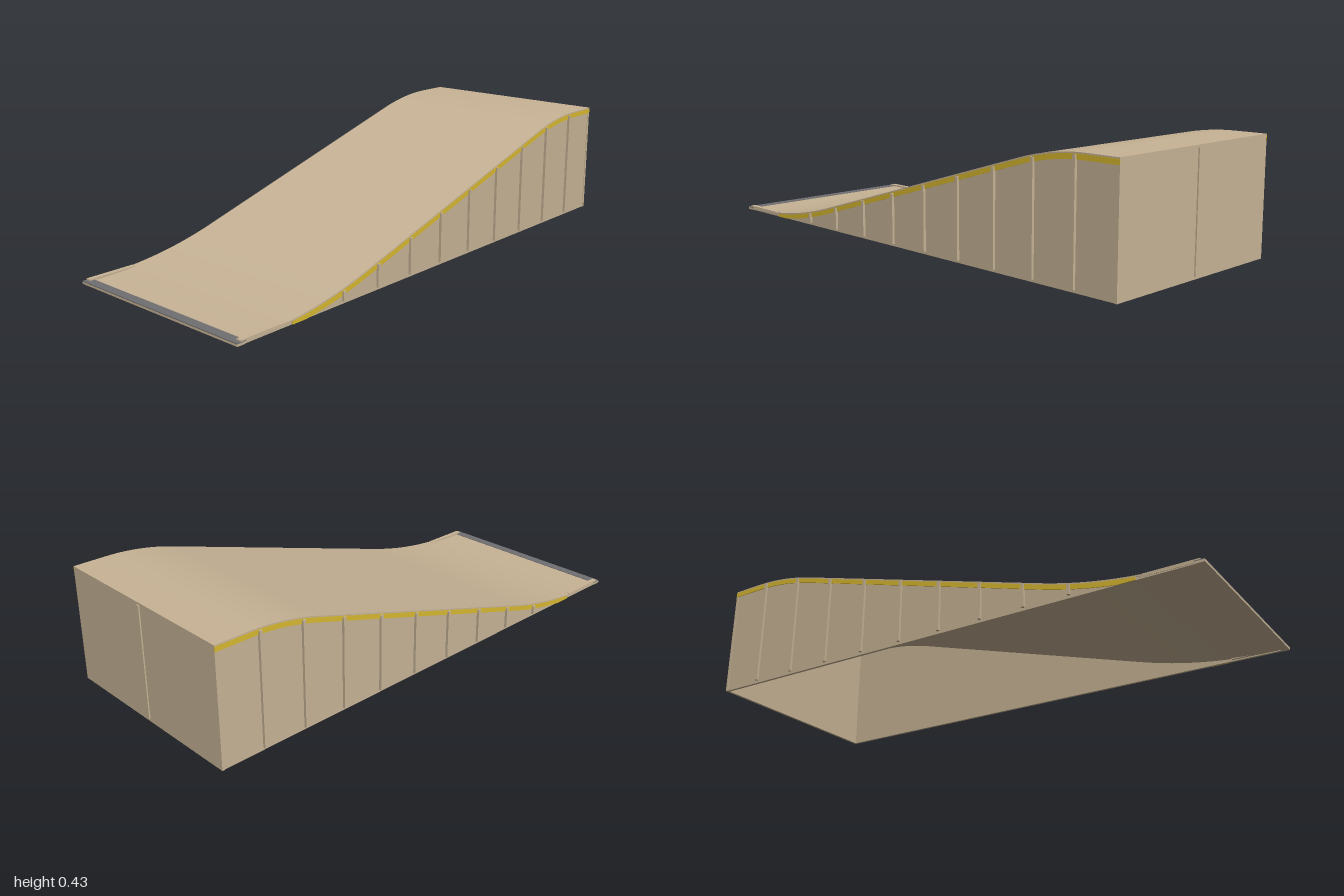
import * as THREE from 'three';
import { toCreasedNormals } from 'three/addons/utils/BufferGeometryUtils.js';

const wood = new THREE.MeshStandardMaterial({ color: 0xc8b496 });
wood.name = 'tan panel';
const steel = new THREE.MeshStandardMaterial({ color: 0x707072 });
steel.name = 'grey steel';
const yellow = new THREE.MeshStandardMaterial({ color: 0xd9b92f });
yellow.name = 'yellow stripe';

const HALF = 0.397;   // half width of the deck
const SKIN = 0.006;   // deck thickness

// Deck line as (z, y), from the front lip to the back edge
function deckLine() {
  const v = (z, y) => new THREE.Vector2(z, y);
  const foot = new THREE.QuadraticBezierCurve(v(0.93, 0.009), v(0.677, 0.009), v(0.43, 0.083));
  const crest = new THREE.QuadraticBezierCurve(v(-0.6, 0.392), v(-0.737, 0.433), v(-0.87, 0.433));
  return [v(0.995, 0.009), ...foot.getPoints(16), ...crest.getPoints(12), v(-0.995, 0.433)];
}
const line = deckLine();

// Height of the deck at a given z
function deckHeight(z) {
  for (let i = 1; i < line.length; i++) {
    const a = line[i - 1], b = line[i];
    if (z <= a.x && z >= b.x) return a.y + (b.y - a.y) * (a.x - z) / (a.x - b.x);
  }
  return line[line.length - 1].y;
}

// Extrude a (z, y) outline across x, centred on x = 0
function sidewaysExtrude(points, width) {
  const shape = new THREE.Shape(points.map(p => new THREE.Vector2(-p.x, p.y)));
  const geo = new THREE.ExtrudeGeometry(shape, { depth: width, bevelEnabled: false });
  geo.translate(0, 0, -width / 2);
  geo.rotateY(Math.PI / 2);
  return toCreasedNormals(geo, 0.5);
}

// Outline between two offsets below a part of the deck line
function band(points, top, bottom) {
  const upper = points.map(p => new THREE.Vector2(p.x, p.y - top));
  const lower = points.map(p => new THREE.Vector2(p.x, Math.max(0, p.y - bottom))).reverse();
  return [...lower, ...upper];
}

export function createModel() {
  const model = new THREE.Group();
  model.name = 'ramp';
  const add = (name, geo, mat, x = 0, y = 0, z = 0) => {
    const mesh = new THREE.Mesh(geo, mat);
    mesh.name = name;
    mesh.position.set(x, y, z);
    model.add(mesh);
  };
  const box = (name, mat, w, h, d, x, y, z) =>
    add(name, new THREE.BoxGeometry(w, h, d), mat, x, y, z);

  // Curved running surface, open underneath
  add('deck', sidewaysExtrude(band(line, 0, SKIN), HALF * 2), wood);

  // Side wall outline follows the deck down to the ground
  const wallOutline = [
    new THREE.Vector2(-0.99, 0), new THREE.Vector2(0.99, 0),
    ...line.map(p => new THREE.Vector2(THREE.MathUtils.clamp(p.x, -0.99, 0.99), p.y - SKIN)),
  ];
  const stripeLine = line.filter(p => p.x < 0.8);

  for (const s of [-1, 1]) {
    add('sideWall', sidewaysExtrude(wallOutline, 0.01), wood, s * (HALF - 0.007));
    add('edgeStripe', sidewaysExtrude(band(stripeLine, 0.005, 0.023), 0.004), yellow, s * (HALF - 0.001));

    // Upright ribs along the wall
    for (let i = 0; i < 9; i++) {
      const z = 0.54 - i * 0.171;
      const top = deckHeight(z) - 0.008;
      box('sideRib', wood, 0.012, top - 0.01, 0.011, s * 0.399, (top + 0.01) / 2, z);
    }

    // Low curb beside the entry
    box('entryCurb', wood, 0.02, 0.012, 0.195, s * (HALF - 0.011), 0.01, 0.8875);
  }

  // Back panel with its central rib
  box('backWall', wood, HALF * 2, 0.428, 0.01, 0, 0.214, -0.99);
  box('backRib', wood, 0.011, 0.415, 0.01, 0, 0.2175, -0.995);

  // Front lip with a steel strip on top
  box('frontLip', wood, HALF * 2, 0.008, 0.03, 0, 0.004, 0.985);
  box('steelStrip', steel, HALF * 2, 0.003, 0.035, 0, 0.0095, 0.9825);

  return model;
}
